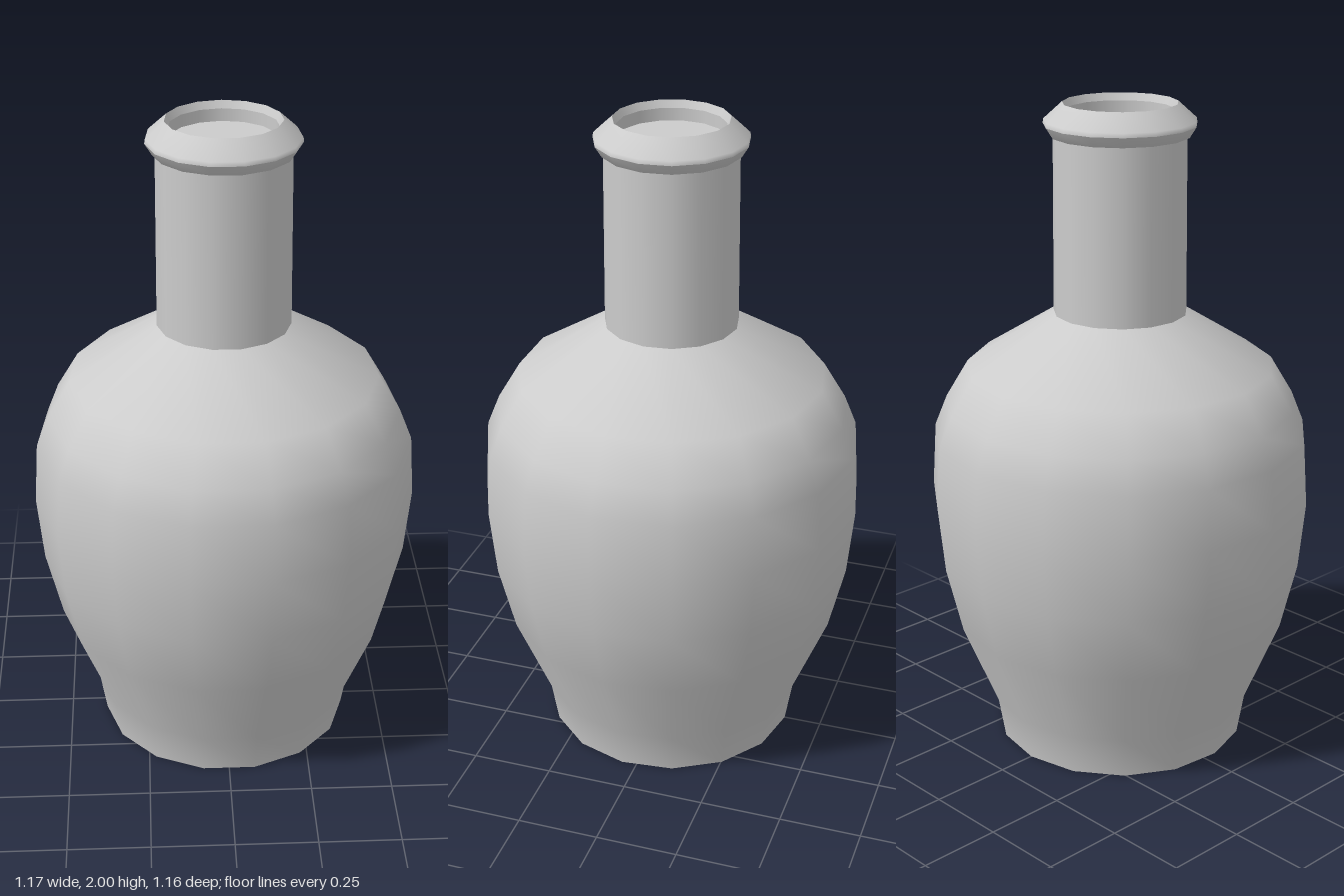
import * as THREE from 'three';

const SIDES = 15;

export function createModel() {
  const group = new THREE.Group();
  group.name = 'bottle';
  const material = new THREE.MeshStandardMaterial({ color: 0xcccccc });

  // One smooth band of revolution; separate bands meet in a sharp edge
  function band(name, profile) {
    const points = profile.map(([r, y]) => new THREE.Vector2(r, y));
    const mesh = new THREE.Mesh(new THREE.LatheGeometry(points, SIDES, Math.PI), material);
    mesh.name = name;
    mesh.position.z = 0.0065; // odd side count: shift the axis to centre the bounds
    group.add(mesh);
  }

  // Flat underside
  band('base', [[0, 0], [0.388, 0]]);

  // Foot, belly and shoulder
  band('body', [
    [0.388, 0], [0.41, 0.13], [0.517, 0.39], [0.567, 0.6], [0.587, 0.805],
    [0.575, 0.995], [0.537, 1.09], [0.468, 1.206], [0.202, 1.372],
  ]);

  // Straight neck
  band('neck', [[0.202, 1.372], [0.199, 1.905]]);

  // Flared lip: underside, edge and sloping top
  band('lipUnderside', [[0.199, 1.905], [0.208, 1.905], [0.228, 1.937]]);
  band('lipTop', [[0.228, 1.937], [0.226, 1.95], [0.171, 2]]);

  // Mouth opening with a shallow floor
  band('mouthBevel', [[0.171, 2], [0.16, 1.978]]);
  band('mouthWall', [[0.16, 1.978], [0.16, 1.94]]);
  band('mouthFloor', [[0.16, 1.94], [0, 1.94]]);

  return group;
}
